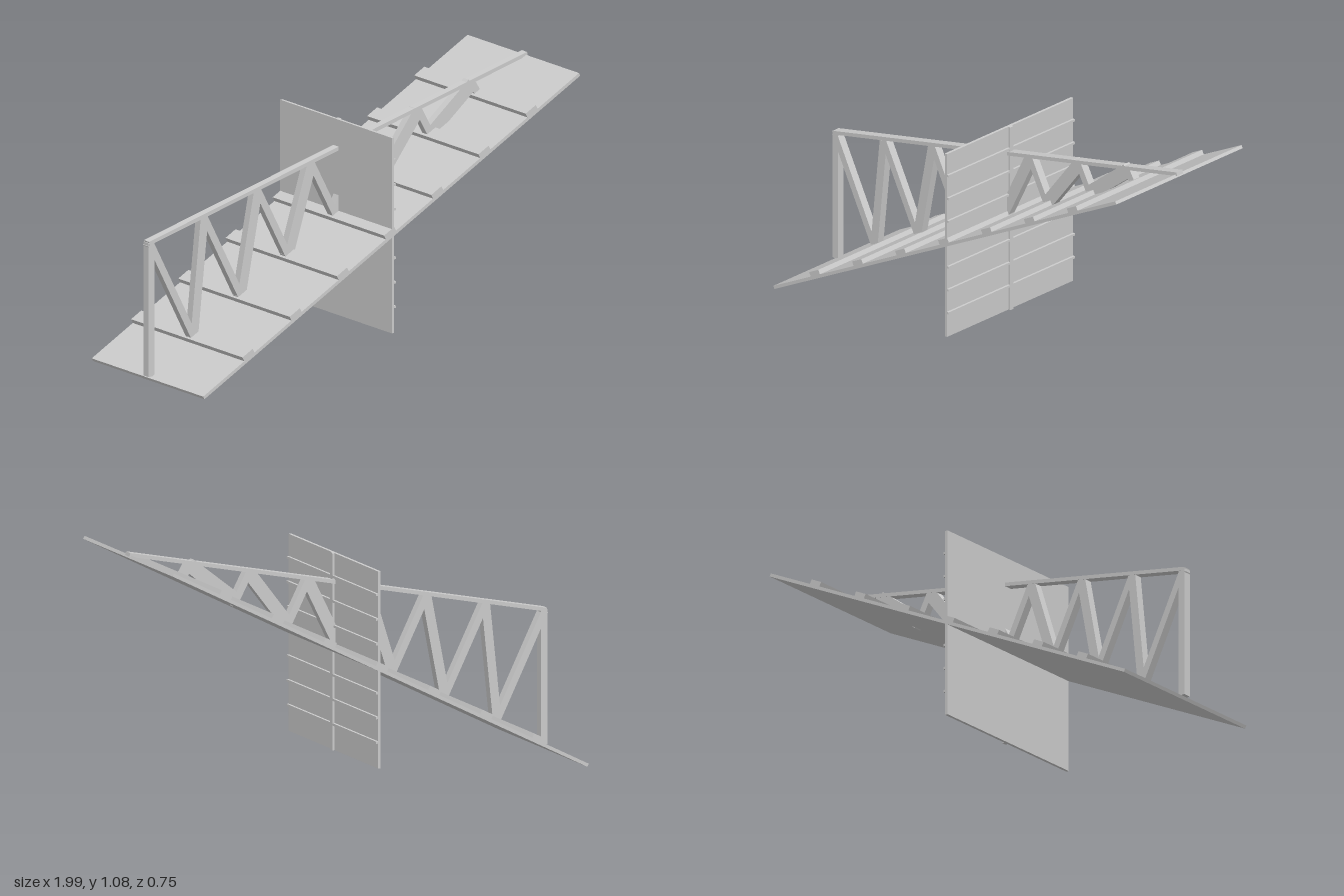
import * as THREE from 'three';

const grey = new THREE.MeshStandardMaterial({ color: 0xcccccc, flatShading: true });
const WIDTH = 0.75;

function box(parent, name, w, h, d, x, y, z = 0, angle = 0) {
  const mesh = new THREE.Mesh(new THREE.BoxGeometry(w, h, d), grey);
  mesh.name = name;
  mesh.position.set(x, y, z);
  mesh.rotation.z = angle;
  parent.add(mesh);
  return mesh;
}

// Straight bar between two points in the xy plane
function bar(parent, name, [x1, y1], [x2, y2], thick, depth) {
  const dx = x2 - x1, dy = y2 - y1;
  return box(parent, name, Math.hypot(dx, dy), thick, depth,
    (x1 + x2) / 2, (y1 + y2) / 2, 0, Math.atan2(dy, dx));
}

export function createModel() {
  const model = new THREE.Group();
  model.name = 'trussedRamp';

  // Sloping deck with cross beams on its upper face
  const deck = new THREE.Group();
  deck.name = 'deck';
  deck.position.set(0.001, 0.533, 0);
  deck.rotation.z = Math.atan2(1.052, 1.975);
  model.add(deck);
  box(deck, 'deckPlate', 2.238, 0.014, WIDTH, 0, 0);
  for (let i = -3; i <= 3; i++) {
    box(deck, 'crossBeam', 0.06, 0.02, WIDTH, i * 0.281 - 0.001, 0.017);
  }

  // Truss: seven top chord segments over zigzag web members
  const truss = new THREE.Group();
  truss.name = 'truss';
  model.add(truss);
  const top = [], bottom = [];
  for (let i = 0; i <= 7; i++) {
    const t = i / 7;
    top.push([-0.985 + 1.97 * t, 0.594 + 0.472 * t]);
    if (i < 7) bottom.push([-0.757 + 0.2485 * i, 0.15 + 0.1325 * i]);
  }
  for (let i = 0; i < 7; i++) {
    const [x1, y1] = top[i], [x2, y2] = top[i + 1];
    bar(truss, 'topChord', [x1 - 0.008, y1 - 0.001], [x2 + 0.008, y2 + 0.003], 0.016, 0.036);
    bar(truss, 'fallingDiagonal', [x1, y1 - 0.005], bottom[i], 0.032, 0.034);
    if (i < 6) {
      bar(truss, 'risingDiagonal', bottom[i], [x2, y2 - 0.012], 0.04 + 0.004 * i, 0.034);
    }
  }
  box(truss, 'endPost', 0.032, 0.575, 0.034, -0.981, 0.307);

  // Upright panel across the middle, ribbed on its +x face
  const panel = new THREE.Group();
  panel.name = 'uprightPanel';
  model.add(panel);
  box(panel, 'panelPlate', 0.012, 0.84, WIDTH, 0.007, 0.535);
  box(panel, 'panelStile', 0.01, 0.84, 0.02, 0.018, 0.535);
  for (let i = -3; i <= 3; i++) {
    for (const side of [-1, 1]) {
      box(panel, 'panelRib', 0.01, 0.01, WIDTH / 2 - 0.01, 0.018, 0.541 + i * 0.105,
        side * (WIDTH / 4 + 0.005));
    }
  }
  return model;
}
